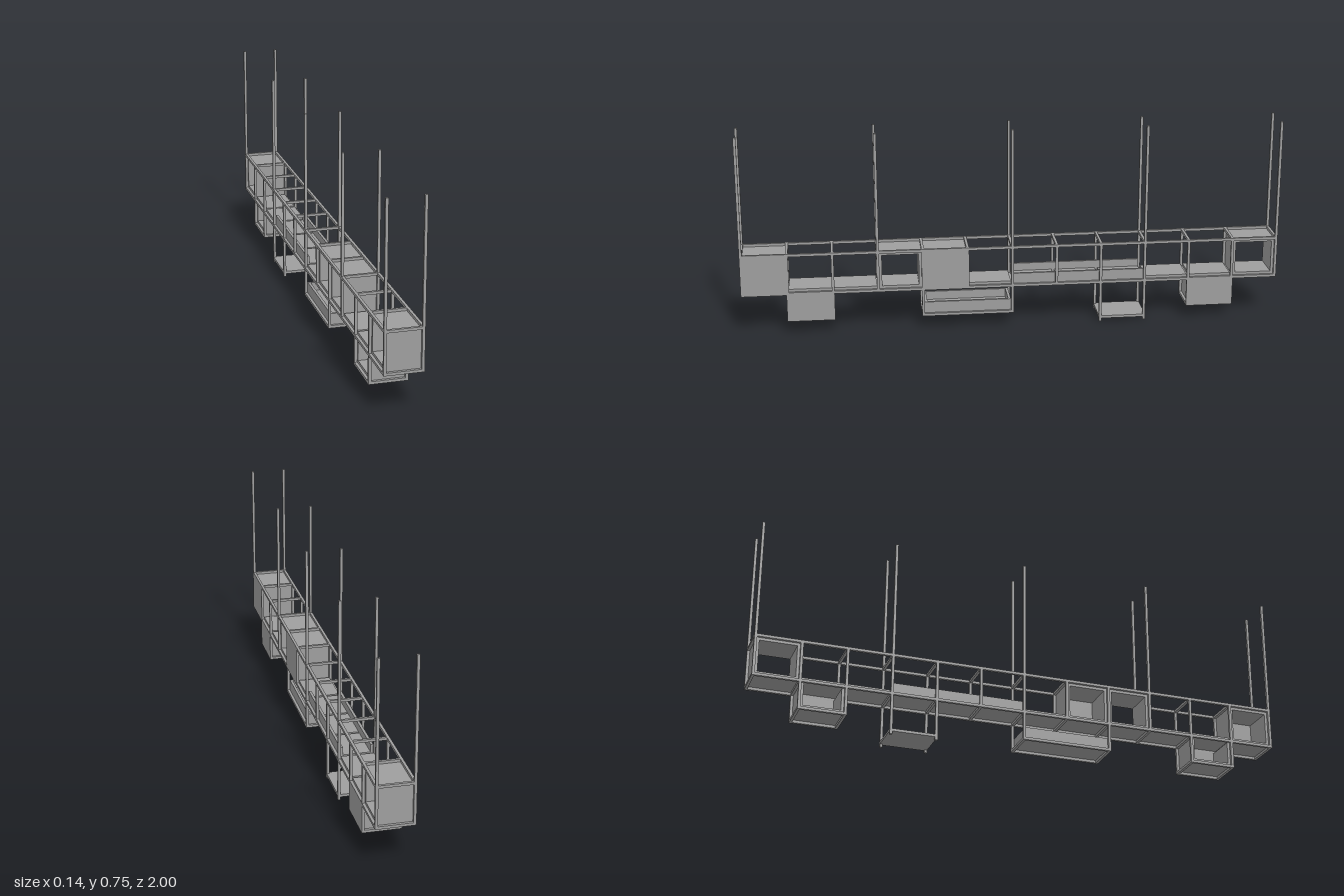
import * as THREE from 'three';

const T = 0.01, h = T / 2;    // thickness of bars and boards, and half of it
const X = 0.0648;             // bar centre line, left and right
const IN = X - h, OUT = X + h; // inner and outer faces of the bars
const LOW = 0.156, HIGH = 0.305, DROP = 0.053; // bar heights
const BAYS = 12, STEP = (2 - T) / BAYS;
const zAt = (i) => 1 - h - i * STEP; // divider i, counted from the front

export function createModel() {
  const model = new THREE.Group();
  const mat = new THREE.MeshStandardMaterial({ color: 0x9e9e9e });
  let parent = model;

  const group = (name) => {
    parent = new THREE.Group();
    parent.name = name;
    model.add(parent);
  };
  // Box given by its limits on each axis
  const box = (name, x0, x1, y0, y1, z0, z1) => {
    const m = new THREE.Mesh(
      new THREE.BoxGeometry(Math.abs(x1 - x0), Math.abs(y1 - y0), Math.abs(z1 - z0)), mat);
    m.position.set((x0 + x1) / 2, (y0 + y1) / 2, (z0 + z1) / 2);
    m.name = name;
    parent.add(m);
  };
  const posts = (name, i, y0, y1) => {
    for (const s of [-1, 1]) box(name, s * IN, s * OUT, y0, y1, zAt(i) - h, zAt(i) + h);
  };
  const rails = (name, i, j, y) => {
    for (const s of [-1, 1]) box(name, s * IN, s * OUT, y - h, y + h, zAt(j) + h, zAt(i) - h);
  };
  const crossBar = (i, y) => box('crossBar', -IN, IN, y - h, y + h, zAt(i) - h, zAt(i) + h);

  // Boards between dividers i and j, just inside the bars
  const floor = (name, i, j, y) => box(name, -IN, IN, y, y + T, zAt(j) + h, zAt(i) - h);
  const sideBoards = (i, j, y0, y1) => {
    for (const s of [-1, 1]) box('sideBoard', s * (IN - T), s * IN, y0, y1, zAt(j) + h, zAt(i) - h);
  };
  const ends = (i, j, y0, y1) => {
    box('endPanel', -IN, IN, y0, y1, zAt(i) - h - T, zAt(i) - h);
    box('endPanel', -IN, IN, y0, y1, zAt(j) + h, zAt(j) + h + T);
  };
  // Left side panel, flush with the outside of the bars
  const sidePanel = (bay, y0, y1) =>
    box('sidePanel', IN, OUT, y0, y1, zAt(bay + 1) + h, zAt(bay) - h);

  // Main truss with tall hanging posts at every third divider
  group('mainFrame');
  rails('bottomRail', 0, BAYS, LOW);
  rails('topRail', 0, BAYS, HIGH);
  for (let i = 0; i <= BAYS; i++) {
    const tall = i % 3 === 0;
    posts(tall ? 'hangingPost' : 'post', i, LOW - h, tall ? 0.755 : HIGH + h);
    crossBar(i, LOW);
    crossBar(i, HIGH);
  }

  // Walkway floor
  group('deck');
  for (let i = 0; i < BAYS; i++) floor('floorPanel', i, i + 1, LOW + h);

  // Roofed cabins: some closed on the left side, others open on both
  for (const [bay, closed] of [[0, true], [3, false], [4, true], [11, false]]) {
    group('cabin');
    floor('roofPanel', bay, bay + 1, HIGH - h - T);
    ends(bay, bay + 1, LOW + h, HIGH - h);
    if (closed) sidePanel(bay, LOW + h, HIGH - h);
  }

  // Low side boards along the walkway
  group('walkwaySides');
  sideBoards(6, 9, LOW + h, 0.2);

  // Frame hung below the deck
  const dropFrame = (i, j) => {
    rails('lowerRail', i, j, DROP);
    for (const k of [i, j]) {
      posts('dropPost', k, DROP - h, LOW - h);
      crossBar(k, DROP);
    }
    floor('lowerFloor', i, j, DROP + h);
  };

  // Lower boxes, open on the right side
  for (const bay of [1, 10]) {
    group('lowerBox');
    dropFrame(bay, bay + 1);
    ends(bay, bay + 1, DROP + h, LOW - h);
    sidePanel(bay, DROP + h, LOW - h);
  }

  // Long shallow tray
  group('tray');
  dropFrame(4, 6);
  sideBoards(4, 6, DROP + h, 0.1);
  ends(4, 6, DROP + h, 0.1);

  // Hanging step on four legs
  group('hangingStep');
  posts('stepLeg', 8, 0, LOW - h);
  posts('stepLeg', 9, 0, LOW - h);
  box('stepBoard', -IN, IN, 0.011, 0.021, zAt(9) - h, zAt(8) + h);
  for (const s of [-1, 1]) box('stepEdge', s * IN, s * OUT, 0.011, 0.021, zAt(9) + h, zAt(8) - h);

  return model;
}
